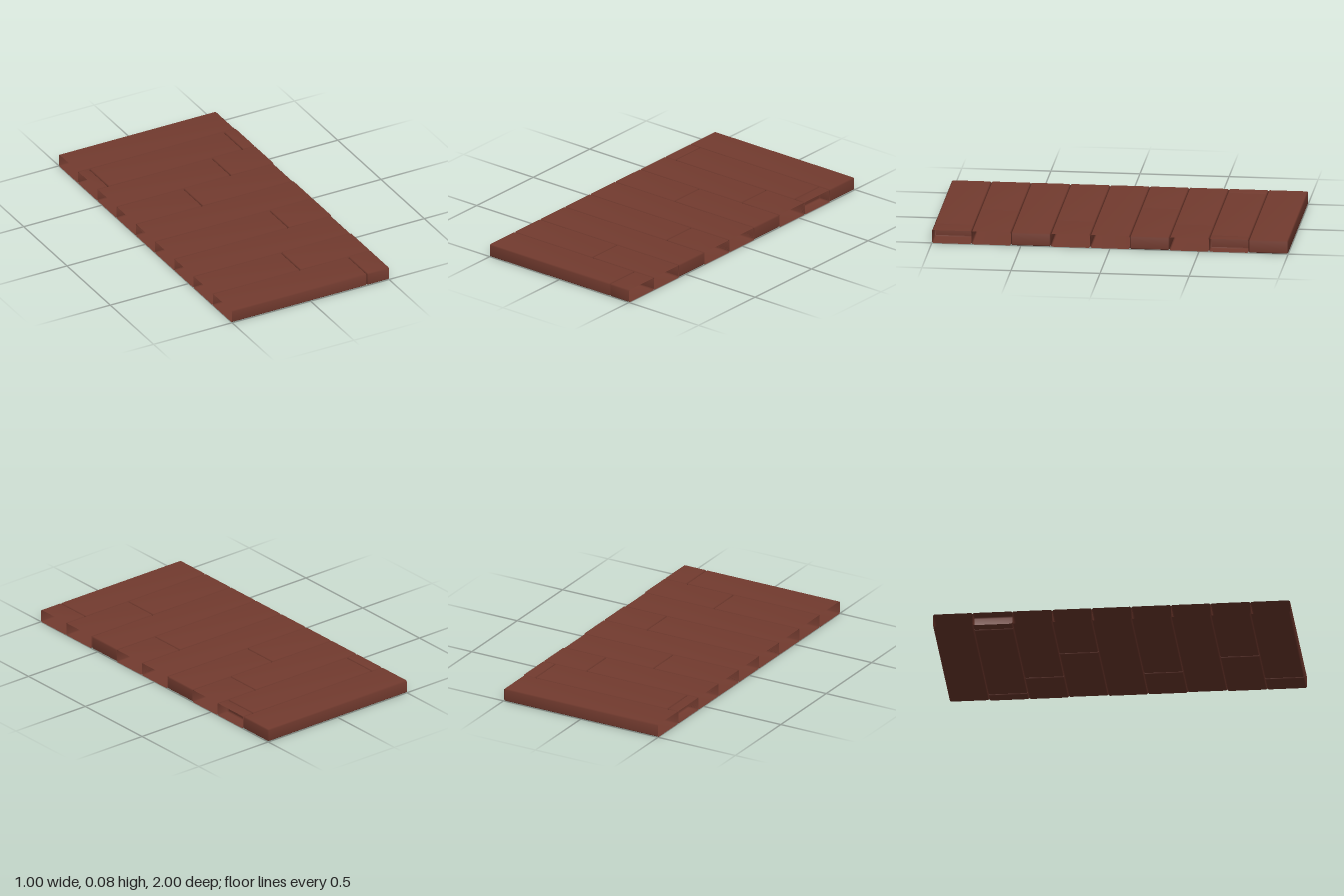
import * as THREE from 'three';
import { mergeVertices } from 'three/addons/utils/BufferGeometryUtils.js';

const ROWS = 9, PITCH = 2 / ROWS, HEIGHT = 0.075, BEVEL = 0.007;
const HALF = 0.5;

// Butt joints along each row, back to front
const JOINTS = [[], [-0.43, 0.426], [0.227], [-0.076], [], [0.227], [], [0.056], [0.361]];
// Rows whose last board ends exactly at the right edge, so it has a closed end
const CLOSED_ROWS = [0, 3, 6];

// Octagonal board section, counter-clockwise seen from +x; inset shrinks it for the end bevel
function section(x, inset) {
  const z = PITCH / 2, y = HEIGHT / 2, b = BEVEL;
  const points = [
    [z - b, y], [z, y - b], [z, b - y], [z - b, -y],
    [b - z, -y], [-z, b - y], [-z, y - b], [b - z, y],
  ];
  const clamp = THREE.MathUtils.clamp;
  return points.map(([pz, py]) => inset
    ? new THREE.Vector3(x, clamp(py, b - y, y - b), clamp(pz, b - z, z - b))
    : new THREE.Vector3(x, py, pz));
}

// Soft-edged board between two x positions; ends lying on the trimmed border stay open
function boardGeometry(x0, x1, closed0, closed1) {
  const rings = [];
  if (closed0) rings.push(section(x0, true));
  rings.push(section(closed0 ? x0 + BEVEL : x0, false));
  rings.push(section(closed1 ? x1 - BEVEL : x1, false));
  if (closed1) rings.push(section(x1, true));

  const vertices = [];
  const triangle = (a, b, c) => {
    const area = b.clone().sub(a).cross(c.clone().sub(a)).length();
    if (area > 1e-9) vertices.push(...a, ...b, ...c);
  };
  for (let r = 0; r < rings.length - 1; r++) {
    const a = rings[r], b = rings[r + 1];
    for (let i = 0; i < 8; i++) {
      const j = (i + 1) % 8;
      triangle(a[i], a[j], b[j]);
      triangle(a[i], b[j], b[i]);
    }
  }
  const first = rings[0], last = rings[rings.length - 1];
  for (let i = 1; i < 7; i++) {
    if (closed0) triangle(first[0], first[i + 1], first[i]);
    if (closed1) triangle(last[0], last[i], last[i + 1]);
  }
  const soup = new THREE.BufferGeometry();
  soup.setAttribute('position', new THREE.Float32BufferAttribute(vertices, 3));
  // Shared vertices give smooth normals over the bevels
  const geometry = mergeVertices(soup);
  geometry.computeVertexNormals();
  return geometry;
}

export function createModel() {
  const floor = new THREE.Group();
  floor.name = 'plankFloor';
  // Boards are hollow with open trimmed ends, so their insides show too
  const wood = new THREE.MeshStandardMaterial({ color: 0x733b2f, side: THREE.DoubleSide });

  JOINTS.forEach((joints, row) => {
    const group = new THREE.Group();
    group.name = `plankRow${row + 1}`;
    group.position.set(0, HEIGHT / 2, -1 + (row + 0.5) * PITCH);
    const stops = [-HALF, ...joints, HALF];
    for (let i = 0; i < stops.length - 1; i++) {
      const closedRight = i < joints.length || CLOSED_ROWS.includes(row);
      const plank = new THREE.Mesh(boardGeometry(stops[i], stops[i + 1], i > 0, closedRight), wood);
      plank.name = `plank${i + 1}`;
      group.add(plank);
    }
    floor.add(group);
  });
  return floor;
}
